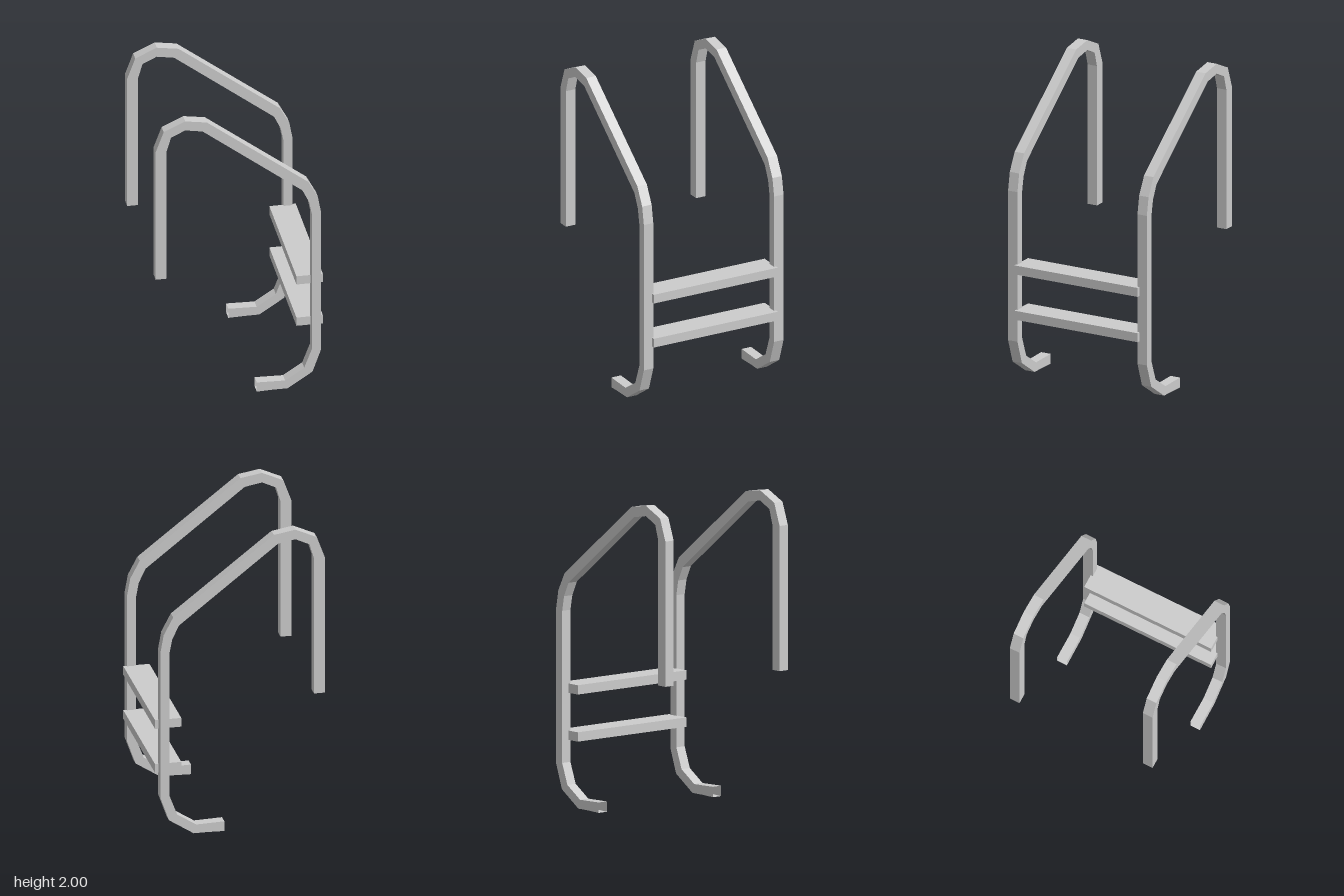
import * as THREE from 'three';

// Handrail side outline, from the tall free leg over the top to the foot:
// outer x, outer y, inner x, inner y
const RAIL = [
  [-0.54, 0.878, -0.471, 0.878],
  [-0.54, 1.797, -0.471, 1.795],
  [-0.489, 1.937, -0.442, 1.892],
  [-0.352, 2.0, -0.352, 1.935],
  [-0.214, 1.977, -0.241, 1.915],
  [0.431, 1.478, 0.394, 1.42],
  [0.492, 1.363, 0.437, 1.33],
  [0.513, 1.246, 0.455, 1.235],
  [0.513, 0.262, 0.455, 0.272],
  [0.458, 0.106, 0.405, 0.14],
  [0.3, 0.003, 0.283, 0.061],
  [0.205, 0.003, 0.205, 0.063],
  [0.103, 0.0, 0.103, 0.066],
];

// Square tube with open ends, swept through the outline sections
function railGeometry(halfWidth) {
  const rings = RAIL.map(([ox, oy, ix, iy]) => [
    [ox, oy, halfWidth], [ox, oy, -halfWidth],
    [ix, iy, -halfWidth], [ix, iy, halfWidth],
  ]);
  const positions = [];
  for (let i = 0; i < rings.length - 1; i++) {
    for (let k = 0; k < 4; k++) {
      const n = (k + 1) % 4;
      const a = rings[i][n], b = rings[i][k];
      const c = rings[i + 1][k], d = rings[i + 1][n];
      positions.push(...a, ...b, ...c, ...a, ...c, ...d);
    }
  }
  const geometry = new THREE.BufferGeometry();
  geometry.setAttribute('position', new THREE.Float32BufferAttribute(positions, 3));
  geometry.computeVertexNormals();
  return geometry;
}

export function createModel() {
  const group = new THREE.Group();
  group.name = 'poolLadder';
  const material = new THREE.MeshStandardMaterial({
    color: 0xcccccc, flatShading: true, side: THREE.DoubleSide,
  });

  // Pair of bent handrails
  const rail = railGeometry(0.034);
  for (const [name, z] of [['frontRail', 0.467], ['backRail', -0.469]]) {
    const mesh = new THREE.Mesh(rail, material);
    mesh.name = name;
    mesh.position.z = z;
    group.add(mesh);
  }

  // Two flat treads between the rails
  const tread = new THREE.BoxGeometry(0.168, 0.059, 0.892);
  for (const [name, y] of [['lowerStep', 0.442], ['upperStep', 0.74]]) {
    const mesh = new THREE.Mesh(tread, material);
    mesh.name = name;
    mesh.position.set(0.451, y, -0.004);
    group.add(mesh);
  }
  return group;
}
